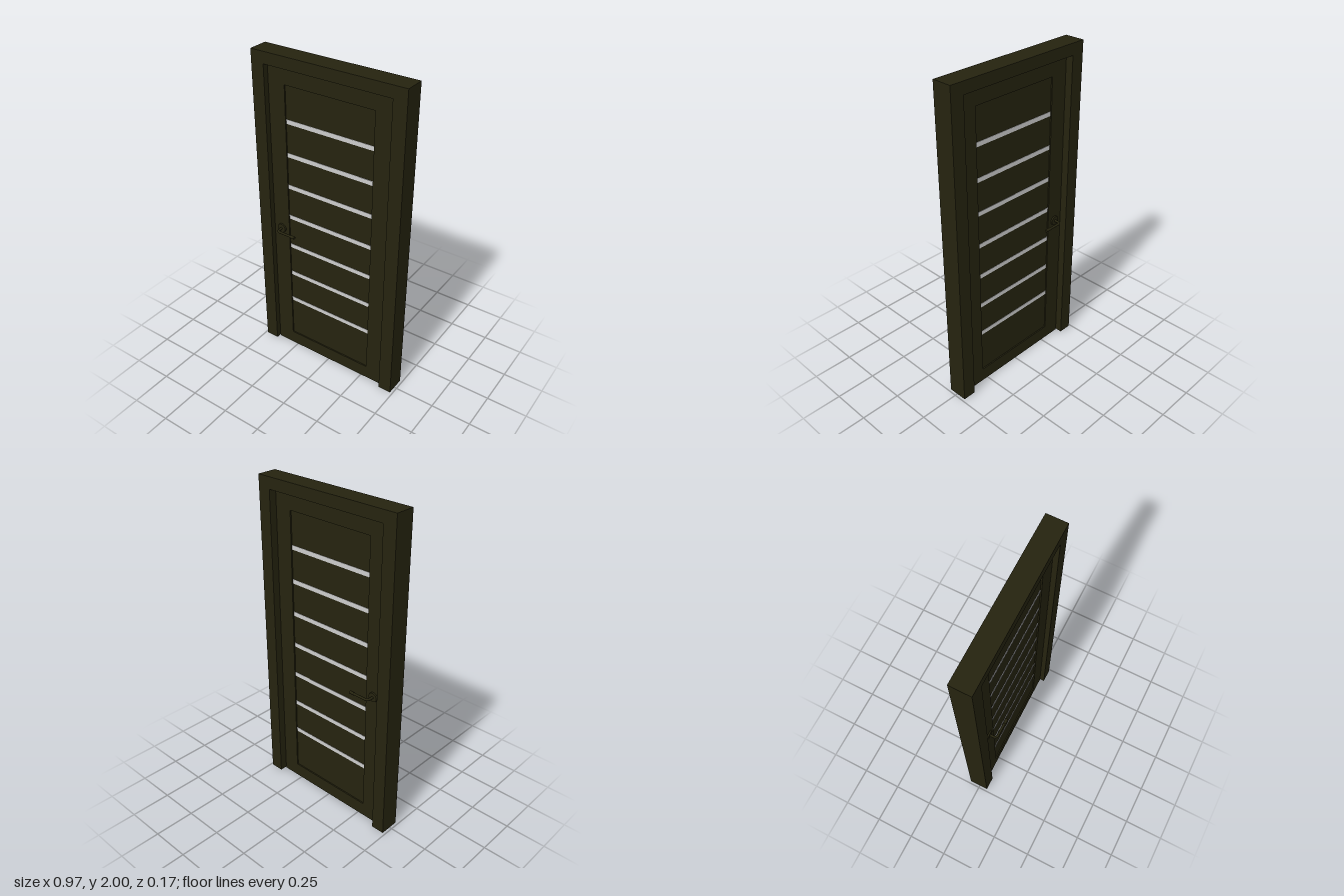
import * as THREE from 'three';

const wood = new THREE.MeshStandardMaterial({ color: 0x25230f });
wood.name = 'darkOlive';
const glass = new THREE.MeshStandardMaterial({ color: 0xcccccc });
glass.name = 'paleGrey';

function add(parent, name, geometry, material) {
  const mesh = new THREE.Mesh(geometry, material);
  mesh.name = name;
  parent.add(mesh);
  return mesh;
}

function polygon(points) {
  return points.map(([x, y]) => new THREE.Vector2(x, y));
}

function extrude(shape, z0, z1) {
  const geometry = new THREE.ExtrudeGeometry(shape, { depth: z1 - z0, bevelEnabled: false });
  return geometry.translate(0, 0, z0);
}

// Rose, bent neck and grip of one lever handle, pointing to +z
function makeHandle(name) {
  const handle = new THREE.Group();
  handle.name = name;
  const x = -0.342, y = 0.895, out = 0.075, end = -0.212, bend = 0.022;

  const rose = add(handle, 'rose', new THREE.CylinderGeometry(0.028, 0.03, 0.01, 32), wood);
  rose.rotation.x = Math.PI / 2;
  rose.position.set(x, y, 0.029);

  const path = new THREE.CurvePath();
  const v = (px, pz) => new THREE.Vector3(px, y, pz);
  path.add(new THREE.LineCurve3(v(x, 0.02), v(x, out - bend)));
  path.add(new THREE.QuadraticBezierCurve3(v(x, out - bend), v(x, out), v(x + bend, out)));
  path.add(new THREE.LineCurve3(v(x + bend, out), v(end, out)));
  add(handle, 'lever', new THREE.TubeGeometry(path, 40, 0.0075, 12), wood);

  const grip = add(handle, 'grip', new THREE.CylinderGeometry(0.009, 0.009, 0.03, 16), wood);
  grip.rotation.z = Math.PI / 2;
  grip.position.set(end - 0.015, y, out);
  return handle;
}

export function createModel() {
  const model = new THREE.Group();
  model.name = 'door';

  // Surround: two jambs and a lintel in one piece
  const frame = new THREE.Shape(polygon([
    [-0.485, 0.003], [-0.402, 0.003], [-0.402, 1.93], [0.402, 1.93],
    [0.402, 0.003], [0.485, 0.003], [0.485, 2], [-0.485, 2],
  ]));
  add(model, 'frame', extrude(frame, -0.068, 0.055), wood);

  // Door leaf border around the recessed panel
  const leaf = new THREE.Shape(polygon([[-0.398, 0], [0.398, 0], [0.398, 1.923], [-0.398, 1.923]]));
  leaf.holes.push(new THREE.Path(polygon([[-0.288, 0.088], [-0.288, 1.828], [0.288, 1.828], [0.288, 0.088]])));
  add(model, 'leafBorder', extrude(leaf, -0.025, 0.025), wood);

  const panel = add(model, 'panel', new THREE.BoxGeometry(0.576, 1.74, 0.034), wood);
  panel.position.y = 0.958;

  // Seven pale strips, visible on both faces
  for (let i = 0; i < 7; i++) {
    const strip = add(model, 'strip' + (i + 1), new THREE.BoxGeometry(0.574, 0.027, 0.038), glass);
    strip.position.y = 0.37 + i * 0.207;
  }

  // Handles on both sides
  model.add(makeHandle('frontHandle'));
  const back = makeHandle('backHandle');
  back.rotation.x = Math.PI;
  back.position.y = 2 * 0.895;
  model.add(back);

  return model;
}
